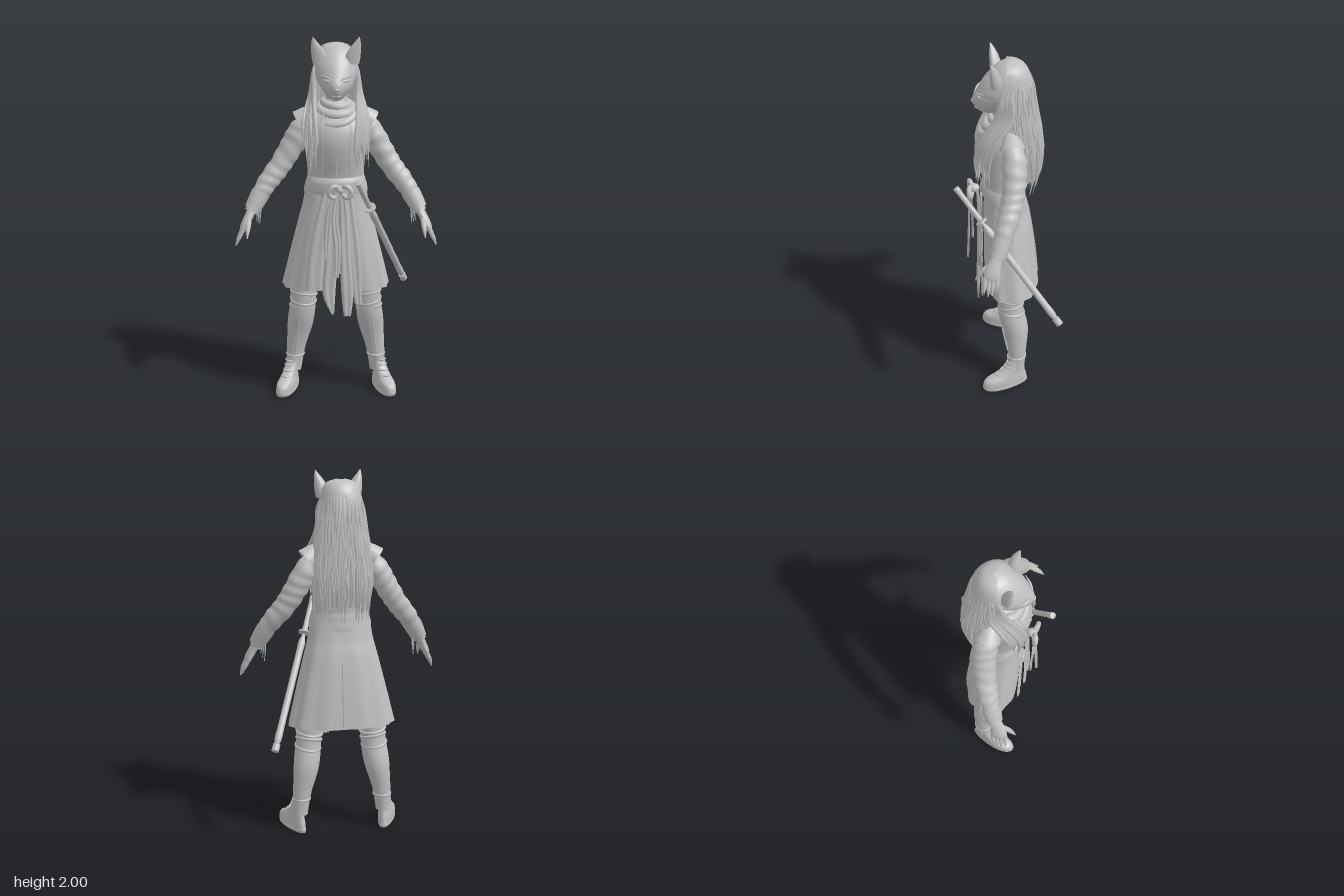
import * as THREE from 'three';
import { mergeVertices } from 'three/addons/utils/BufferGeometryUtils.js';

const clay = new THREE.MeshStandardMaterial({ color: 0xbfbfbf, side: THREE.DoubleSide });
clay.name = 'clay grey';
const V = (p) => new THREE.Vector3(...p);
let seed = 7;
const rnd = () => (seed = (seed * 16807) % 2147483647) / 2147483647;
const spow = (v, e) => Math.sign(v) * Math.abs(v) ** e;

function part(parent, name, geo) {
  const m = new THREE.Mesh(geo, clay);
  m.name = name;
  parent.add(m);
  return m;
}

// Welds seams so that normals stay smooth
function weld(geo) {
  geo.deleteAttribute('uv');
  geo.deleteAttribute('normal');
  const g = mergeVertices(geo, 1e-5);
  g.computeVertexNormals();
  return g;
}

// Smooth interpolation through table rows
function sample(rows, t) {
  const n = rows.length - 1, i = Math.min(Math.floor(t * n), n - 1), f = t * n - i;
  const r = (k) => rows[Math.max(0, Math.min(n, k))];
  return rows[i].map((b, c) => {
    const a = r(i - 1)[c], d = r(i + 1)[c], e = r(i + 2)[c];
    return b + 0.5 * f * (d - a + f * (2 * a - 5 * b + 4 * d - e + f * (3 * (b - d) + e - a)));
  });
}

// Grid surface from a function of (u, v)
function surface(fn, nu, nv) {
  const pos = [], idx = [];
  for (let j = 0; j <= nv; j++) for (let i = 0; i <= nu; i++) pos.push(...fn(i / nu, j / nv));
  for (let j = 0; j < nv; j++) for (let i = 0; i < nu; i++) {
    const a = j * (nu + 1) + i, b = a + nu + 1;
    idx.push(a, a + 1, b + 1, a, b + 1, b);
  }
  const g = new THREE.BufferGeometry();
  g.setAttribute('position', new THREE.Float32BufferAttribute(pos, 3));
  g.setIndex(idx);
  return weld(g);
}

// Horizontal elliptical rings [y, cx, zBack, zFront, rx], listed upwards
function loft(rows, nv = 32, shape = (a, x, z) => [x, z]) {
  return surface((u, v) => {
    const [y, cx, zb, zf, rx] = sample(rows, v), a = u * Math.PI * 2;
    const [x, z] = shape(a, Math.sin(a), Math.cos(a), v);
    return [cx + x * rx, y, (zb + zf) / 2 + z * (zf - zb) / 2];
  }, 36, nv);
}

// Tube along points with varying radius and optional wrinkles
function limb(points, radii, seg = 24, sides = 14, wrinkle = 0) {
  const curve = new THREE.CatmullRomCurve3(points.map(V));
  const g = new THREE.TubeGeometry(curve, seg, 1, sides), p = g.attributes.position, q = new THREE.Vector3();
  const rr = radii.map((r) => [r]);
  for (let i = 0; i < p.count; i++) {
    const k = Math.floor(i / (sides + 1)), a = (i % (sides + 1)) / sides * Math.PI * 2, t = k / seg, c = curve.getPointAt(t);
    const r = Math.max(0.0005, sample(rr, t)[0] + wrinkle * Math.sin(k * 1.3 + 2 * Math.sin(a + k * 0.2)));
    q.fromBufferAttribute(p, i).sub(c).multiplyScalar(r).add(c);
    p.setXYZ(i, q.x, q.y, q.z);
  }
  return weld(g);
}

// Hanging cloth strip through rows [x, y, z, halfWidth]
const ribbon = (rows) => surface((u, v) => {
  const [x, y, z, w] = sample(rows, v), s = u * 2 - 1;
  return [x + s * w, y, z - 0.012 * s * s + 0.005 * Math.sin(u * 9)];
}, 8, 16);

function ball(parent, name, pos, scale, rot = [0, 0, 0]) {
  const m = part(parent, name, new THREE.SphereGeometry(1, 20, 14));
  m.position.set(...pos);
  m.scale.set(...scale);
  m.rotation.set(...rot);
}

function buildHead(g) {
  // Animal mask with a tapering muzzle
  part(g, 'mask', loft([
    [1.67, 0, 0.08, 0.12, 0], [1.675, 0, 0.04, 0.145, 0.03], [1.7, 0, 0, 0.168, 0.057], [1.73, 0, -0.05, 0.183, 0.08],
    [1.765, 0, -0.09, 0.178, 0.1], [1.8, 0, -0.11, 0.157, 0.112], [1.85, 0, -0.12, 0.13, 0.112], [1.9, 0, -0.11, 0.09, 0.1],
    [1.935, 0, -0.085, 0.052, 0.075], [1.953, 0, -0.055, 0.015, 0.042], [1.96, 0, -0.02, -0.02, 0],
  ], 40, (a, x, z, v) => [x * (1 - (v < 0.5 ? 0.3 : 0.12) * Math.max(z, 0) ** 2), z]));
  ball(g, 'nose', [0, 1.735, 0.178], [0.014, 0.01, 0.011]);
  part(g, 'mouth', limb([[-0.04, 1.705, 0.13], [-0.015, 1.7, 0.165], [0.015, 1.7, 0.165], [0.04, 1.705, 0.13]], [0.002, 0.003, 0.003, 0.002], 16, 6));
  for (const s of [-1, 1]) {
    ball(g, 'eye', [s * 0.047, 1.777, 0.15], [0.025, 0.008, 0.007], [0, s * 0.45, s * 0.2]);
    part(g, 'brow', limb([[s * 0.012, 1.777, 0.172], [s * 0.045, 1.795, 0.153], [s * 0.083, 1.806, 0.12]], [0.002, 0.006, 0.002], 12, 8));
    // Cupped pointed ears, open towards the front
    part(g, 'ear', loft([
      [1.855, s * 0.083, 0.025, 0.112, 0.038], [1.895, s * 0.088, 0.03, 0.113, 0.04], [1.94, s * 0.101, 0.045, 0.11, 0.029],
      [1.975, s * 0.114, 0.065, 0.1, 0.014], [2, s * 0.121, 0.084, 0.09, 0.001],
    ], 16, (a, x, z) => [x, z > 0 ? z * 0.45 : z]));
  }
}

function buildHair(g) {
  // Rows: y, half width, depth behind the centre
  const fall = [[1.962, 0.02, 0.025], [1.935, 0.085, 0.088], [1.84, 0.116, 0.13], [1.7, 0.134, 0.15], [1.56, 0.157, 0.173], [1.42, 0.165, 0.185], [1.3, 0.15, 0.17]];
  const hairAt = (a, t, w) => {
    const [y, rx, d] = sample(fall, t), e = 1 - 0.25 * t;
    return [spow(Math.sin(a), e) * rx * w, y, -spow(Math.cos(a), e) * d * w];
  };
  part(g, 'backHair', surface((u, v) => hairAt((u - 0.5) * 3.3, v, 1 - 0.025 * Math.min(v * 1.5, 1) * (1 + Math.cos(u * 130))), 80, 24));
  for (let i = 0; i < 54; i++) {
    const a = (i / 53 - 0.5) * 2.9, start = 0.25 + rnd() * 0.2, end = 0.88 + rnd() * 0.12, pts = [];
    for (let k = 0; k <= 6; k++) pts.push(hairAt(a + (rnd() - 0.5) * 0.1, start + (end - start) * k / 6, 0.972 + rnd() * 0.045));
    const tip = pts[6];
    pts.push([tip[0], tip[1] - 0.04 - rnd() * 0.08, tip[2] + 0.02]);
    part(g, 'hairStrand', limb(pts, [0.002, 0.008, 0.008, 0.007, 0.001], 18, 5));
  }
  // Long locks falling over the chest
  for (const s of [-1, 1]) for (let i = 0; i < 9; i++) {
    const f = i / 8, e = 1.25 + rnd() * 0.16, j = (rnd() - 0.5) * 0.015;
    part(g, 'sideLock', limb([
      [s * (0.08 + 0.01 * f), 1.905, -0.03 * f], [s * 0.115, 1.81, 0.03 - 0.05 * f], [s * (0.115 + 0.02 * f), 1.69, 0.06 - 0.08 * f],
      [s * (0.11 + 0.06 * f + j), 1.56, 0.135 - 0.07 * f], [s * (0.1 + 0.07 * f), 1.44, 0.17 - 0.07 * f], [s * (0.11 + 0.06 * f + j), e, 0.16 - 0.06 * f],
    ], [0.006, 0.014, 0.013, 0.011, 0.009, 0.001], 24, 6));
  }
}

function buildBody(g) {
  part(g, 'tunic', loft([
    [1.1, 0, -0.09, 0.11, 0.165], [1.18, 0, -0.085, 0.12, 0.165], [1.26, 0, -0.086, 0.13, 0.152], [1.36, 0, -0.095, 0.158, 0.154], [1.45, 0, -0.105, 0.173, 0.165],
    [1.52, 0, -0.105, 0.163, 0.174], [1.58, 0, -0.09, 0.13, 0.165], [1.62, 0, -0.07, 0.1, 0.1], [1.66, 0, -0.05, 0.075, 0.062], [1.74, 0, -0.05, 0.06, 0.055],
  ], 36));
  part(g, 'frontSeam', limb([[0.0, 1.56, 0.143], [0, 1.45, 0.173], [0, 1.36, 0.157], [0, 1.25, 0.128]], [0.003, 0.003], 20, 6));
  for (const s of [-1, 1]) {
    part(g, 'lapel', limb([[s * 0.07, 1.6, 0.11], [s * 0.075, 1.5, 0.153], [s * 0.07, 1.4, 0.15], [s * 0.075, 1.26, 0.112]], [0.005, 0.005], 20, 6));
  }
  // Draped scarf folds, sagging at the front
  [[1.642, 0.064, 0.022, 0.15, 0.02], [1.615, 0.085, 0.026, 0.3, 0.03], [1.592, 0.1, 0.022, 0.5, 0.05]].forEach(([y, r, t, tilt, z], i) => {
    const m = part(g, 'scarfFold', new THREE.TorusGeometry(r, t, 12, 40));
    m.position.set(0, y, z);
    m.rotation.set(Math.PI / 2 + tilt, (i - 1) * 0.12, 0);
  });
  // Open-fronted flared skirt with soft pleats
  const flare = [[1.2, 0.164, -0.086, 0.125], [1.1, 0.178, -0.103, 0.13], [1, 0.203, -0.125, 0.135], [0.8, 0.252, -0.153, 0.14], [0.62, 0.294, -0.17, 0.135]];
  part(g, 'skirt', surface((u, v) => {
    const [y, rx, zb, zf] = sample(flare, v), gap = 0.06 + 0.34 * v, a = gap + u * (Math.PI * 2 - 2 * gap);
    const w = 1 + 0.02 * v * Math.cos(a * 11);
    return [spow(Math.sin(a), 0.83) * rx * w, y, (zb + zf) / 2 + spow(Math.cos(a), 0.83) * (zf - zb) / 2 * w];
  }, 110, 24));
  part(g, 'backSlit', limb([[0.01, 0.98, -0.127], [0.01, 0.8, -0.152], [0.01, 0.63, -0.168]], [0.005, 0.004], 14, 6));
  // Sash, bow and hanging strips
  part(g, 'sash', loft([
    [1.15, 0, -0.095, 0.128, 0.17], [1.17, 0, -0.095, 0.137, 0.173], [1.2, 0, -0.091, 0.142, 0.168], [1.23, 0, -0.089, 0.143, 0.16], [1.255, 0, -0.085, 0.132, 0.152],
  ], 16));
  ball(g, 'knot', [0.02, 1.205, 0.18], [0.026, 0.024, 0.03]);
  for (const s of [-1, 1]) {
    part(g, 'bowLoop', limb([[0.02, 1.21, 0.185], [0.02 + s * 0.035, 1.228, 0.205], [0.02 + s * 0.06, 1.19, 0.205], [0.02 + s * 0.035, 1.165, 0.2], [0.02, 1.2, 0.185]], [0.012, 0.014, 0.012], 28, 8));
  }
  [
    [[0.0, 1.19, 0.17, 0.015], [-0.02, 1.05, 0.165, 0.03], [-0.03, 0.8, 0.17, 0.035], [-0.04, 0.62, 0.17, 0.035], [-0.02, 0.5, 0.17, 0.008]],
    [[0.03, 1.19, 0.17, 0.015], [0.04, 1.05, 0.165, 0.025], [0.05, 0.8, 0.17, 0.03], [0.06, 0.62, 0.175, 0.033], [0.06, 0.49, 0.172, 0.02]],
    [[0.06, 1.19, 0.15, 0.02], [0.08, 1, 0.155, 0.03], [0.1, 0.8, 0.155, 0.033], [0.12, 0.55, 0.15, 0.02]],
    [[0.01, 1.2, 0.205, 0.01], [-0.01, 1.05, 0.215, 0.017], [0.005, 0.9, 0.22, 0.02], [0, 0.73, 0.228, 0.012]],
    [[0.01, 1.2, 0.2, 0.01], [-0.035, 1.1, 0.205, 0.015], [-0.05, 0.95, 0.2, 0.017], [-0.055, 0.82, 0.2, 0.008]],
    [[-0.05, 1.18, 0.148, 0.02], [-0.08, 1, 0.15, 0.04], [-0.11, 0.8, 0.15, 0.045], [-0.12, 0.63, 0.15, 0.05]],
  ].forEach((rows) => part(g, 'hangingStrip', ribbon(rows)));
}

function buildArm(g, s) {
  part(g, 'shoulderFlap', limb([[s * 0.08, 1.59, -0.005], [s * 0.14, 1.572, -0.015], [s * 0.185, 1.535, -0.022]], [0.035, 0.05, 0.068], 10, 20));
  part(g, 'sleeve', limb([
    [s * 0.13, 1.56, -0.02], [s * 0.185, 1.49, -0.03], [s * 0.243, 1.39, -0.03], [s * 0.305, 1.29, -0.015], [s * 0.375, 1.2, 0.015], [s * 0.425, 1.12, 0.045], [s * 0.46, 1.055, 0.065],
  ], [0.048, 0.064, 0.063, 0.059, 0.056, 0.046, 0.034], 44, 18, 0.0025));
  part(g, 'cuff', limb([[s * 0.405, 1.155, 0.03], [s * 0.43, 1.11, 0.046], [s * 0.452, 1.07, 0.06]], [0.052, 0.049, 0.044], 8, 18));
  // Hand with four fingers and a thumb
  part(g, 'palm', loft([
    [0.955, s * 0.505, 0.055, 0.13, 0.014], [0.98, s * 0.497, 0.047, 0.135, 0.022], [1.02, s * 0.478, 0.045, 0.122, 0.026], [1.075, s * 0.45, 0.035, 0.09, 0.026],
  ], 12));
  for (let i = 0; i < 4; i++) {
    const z = 0.063 + i * 0.021, d = [0.02, 0.005, 0, 0.012][i];
    part(g, 'finger', limb([[s * 0.5, 0.975, z], [s * 0.517, 0.94, z + 0.002], [s * (0.532 - d * 0.3), 0.908 + d * 0.6, z + 0.006], [s * (0.543 - d * 0.5), 0.878 + d, z + 0.008]], [0.012, 0.012, 0.01, 0.003], 14, 8));
  }
  part(g, 'thumb', limb([[s * 0.47, 1.025, 0.1], [s * 0.472, 0.995, 0.138], [s * 0.475, 0.96, 0.165], [s * 0.477, 0.935, 0.178]], [0.014, 0.015, 0.011, 0.003], 14, 8));
  for (let i = 0; i < 3; i++) {
    const x = s * (0.41 + i * 0.008);
    part(g, 'cuffTassel', limb([[x, 1.1, 0.03 + i * 0.02], [x, 1.04, 0.03 + i * 0.02], [x + s * 0.006, 0.975 + i * 0.015, 0.03 + i * 0.02]], [0.005, 0.004, 0.002], 8, 5));
  }
}

function buildLeg(g, s) {
  part(g, 'leg', limb([
    [s * 0.11, 0.98, -0.01], [s * 0.145, 0.8, -0.01], [s * 0.175, 0.62, -0.01], [s * 0.186, 0.48, -0.016], [s * 0.203, 0.36, -0.042], [s * 0.224, 0.24, -0.048], [s * 0.238, 0.1, -0.048],
  ], [0.09, 0.088, 0.077, 0.071, 0.072, 0.054, 0.043], 40, 20));
  // Bunched cloth around the knee and boot top
  [[0.57, 0.178, -0.013, 0.071], [0.53, 0.181, -0.014, 0.069], [0.485, 0.187, -0.018, 0.068]].forEach(([y, x, z, r], i) => {
    const m = part(g, 'kneeFold', new THREE.TorusGeometry(r, 0.008, 8, 28));
    m.position.set(s * x, y, z);
    m.rotation.set(Math.PI / 2 + (i % 2 ? 0.2 : -0.12), s * 0.15, 0);
  });
  const ankle = part(g, 'ankleStrap', new THREE.TorusGeometry(0.047, 0.007, 8, 24));
  ankle.position.set(s * 0.229, 0.19, -0.048);
  ankle.rotation.x = Math.PI / 2;
  part(g, 'bootSeam', limb([[s * 0.2, 0.45, 0.048], [s * 0.212, 0.35, 0.03], [s * 0.226, 0.22, 0.004]], [0.005, 0.005], 14, 6));
  // Boot with a round toe, turned outwards
  const foot = new THREE.Group();
  foot.name = 'boot';
  foot.position.set(s * 0.262, 0, 0);
  foot.rotation.y = s * 0.34;
  g.add(foot);
  const round = (a, x, z) => [spow(x, 0.85) * (0.84 + 0.18 * z), z];
  part(foot, 'shoe', loft([
    [0, 0, 0, 0.02, 0], [0.002, 0, -0.105, 0.142, 0.047], [0.03, 0, -0.11, 0.153, 0.053], [0.06, 0, -0.104, 0.138, 0.051], [0.082, 0, -0.098, 0.09, 0.045],
    [0.11, -s * 0.002, -0.094, 0.04, 0.042], [0.15, -s * 0.006, -0.092, 0.006, 0.041], [0.19, -s * 0.012, -0.094, 0.002, 0.044],
  ], 32, round));
  part(foot, 'sole', loft([[0, 0, -0.11, 0.148, 0.053], [0.014, 0, -0.113, 0.154, 0.055], [0.016, 0, -0.105, 0.145, 0.049]], 6, round));
  for (let i = 0; i < 4; i++) {
    const y = 0.088 + i * 0.024, z = [0.076, 0.046, 0.024, 0.01][i];
    part(foot, 'lace', limb([[-0.03, y, z - 0.03], [0, y + 0.006, z + 0.002], [0.03, y, z - 0.03]], [0.005, 0.005], 10, 6));
  }
}

function buildSword(g) {
  const a = [0.11, 1.265, 0.275], b = [0.4, 0.56, -0.275];
  const at = (t) => a.map((v, i) => v + (b[i] - v) * t);
  const rod = (name, t0, t1, r) => part(g, name, limb([at(t0), at((t0 + t1) / 2), at(t1)], [0, r, r, r, r, r, r, r, r, r, r, 0], 44, 14));
  rod('swordGrip', 0, 0.25, 0.015);
  rod('scabbard', 0.23, 1, 0.0185);
  rod('pommel', -0.005, 0.03, 0.017);
  rod('scabbardTip', 0.95, 1.005, 0.02);
  const guard = part(g, 'swordGuard', new THREE.CylinderGeometry(0.033, 0.033, 0.009, 24));
  guard.position.set(...at(0.24));
  guard.quaternion.setFromUnitVectors(new THREE.Vector3(0, 1, 0), V(a).sub(V(b)).normalize());
}

export function createModel() {
  const model = new THREE.Group();
  model.name = 'maskedWarrior';
  const sub = (name, build, ...args) => {
    const g = new THREE.Group();
    g.name = name;
    build(g, ...args);
    model.add(g);
  };
  sub('head', buildHead);
  sub('hair', buildHair);
  sub('body', buildBody);
  sub('sword', buildSword);
  for (const [s, side] of [[1, 'left'], [-1, 'right']]) {
    sub(side + 'Arm', buildArm, s);
    sub(side + 'Leg', buildLeg, s);
  }
  return model;
}
